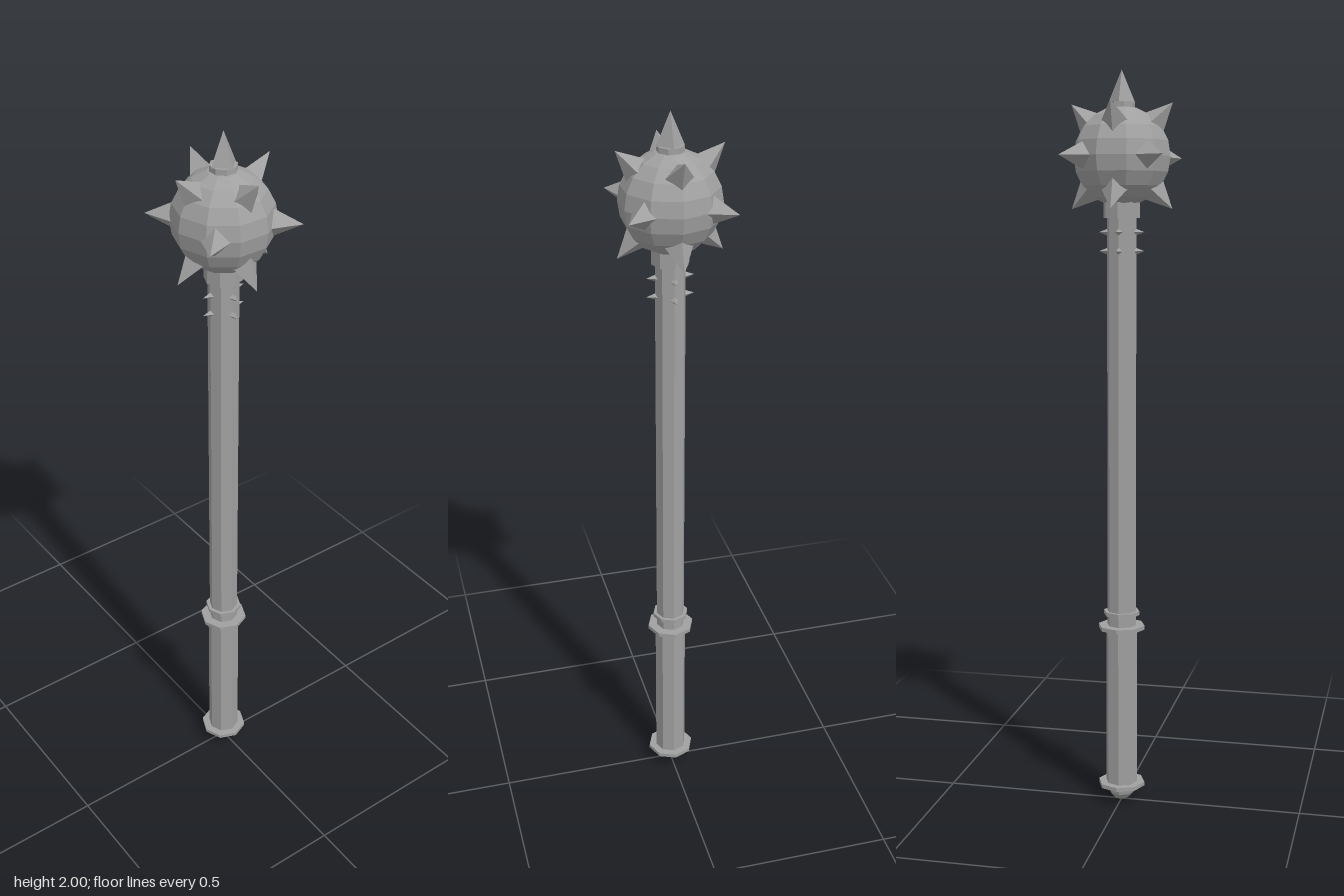
import * as THREE from 'three';

export function createModel() {
  const model = new THREE.Group();
  model.name = 'spikedMace';
  const steel = new THREE.MeshStandardMaterial({ color: 0xa0a0a0, flatShading: true });
  steel.name = 'steel';
  const UP = new THREE.Vector3(0, 1, 0);
  const SIDES = 8;

  function add(name, geometry, y = 0) {
    const mesh = new THREE.Mesh(geometry, steel);
    mesh.name = name;
    mesh.position.y = y;
    model.add(mesh);
    return mesh;
  }

  // Octagonal bar or disc between two heights
  function bar(name, radius, bottom, top) {
    return add(name, new THREE.CylinderGeometry(radius, radius, top - bottom, SIDES), (bottom + top) / 2);
  }

  // Four-sided spike from an inner to an outer distance along a direction
  function spike(name, centreY, dir, inner, outer, radius) {
    const geometry = new THREE.ConeGeometry(radius, outer - inner, 4);
    geometry.translate(0, (inner + outer) / 2, 0);
    // Tilt about x, then turn about y, so two base corners stay level
    geometry.rotateX(Math.acos(dir.dot(UP)));
    geometry.rotateY(Math.atan2(dir.x, dir.z));
    add(name, geometry, centreY);
  }

  // Rounded pommel
  const pommel = new THREE.SphereGeometry(0.04, SIDES, 3, 0, Math.PI * 2, Math.PI / 2, Math.PI / 2);
  add('pommel', pommel, 0.045).scale.y = 1.125;

  // Handle and its guards
  bar('pommelGuard', 0.065, 0.043, 0.054);
  bar('grip', 0.044, 0.05, 0.5);
  bar('gripGuard', 0.065, 0.495, 0.506);
  bar('gripRing', 0.05, 0.535, 0.546);
  bar('shaft', 0.04, 0.5, 1.64);
  bar('headCollar', 0.05, 1.617, 1.675);

  // Two rows of small studs below the head
  for (const y of [1.53, 1.58]) {
    for (let i = 0; i < 4; i++) {
      const a = i * Math.PI / 2;
      spike('stud', y, new THREE.Vector3(Math.sin(a), 0, Math.cos(a)), 0.034, 0.062, 0.011);
    }
  }

  // Faceted ball head
  const headY = 1.777;
  const ball = new THREE.SphereGeometry(0.131, 10, 10);
  ball.rotateY(Math.PI / 10);
  add('ballHead', ball, headY);

  // Twelve spikes: upper, middle and lower rings
  for (const level of [1, 0, -1]) {
    for (let i = 0; i < 4; i++) {
      const a = i * Math.PI / 2 + (level === 0 ? Math.PI / 4 : 0);
      const flat = level === 0 ? 1 : Math.SQRT1_2;
      const dir = new THREE.Vector3(Math.sin(a) * flat, level * Math.SQRT1_2, Math.cos(a) * flat);
      spike('headSpike', headY, dir, 0.118, 0.193, 0.037);
    }
  }

  // Crowning spike on its collar
  bar('crownCollar', 0.035, 1.89, 1.917).rotation.y = Math.PI / 8;
  spike('crownSpike', headY, UP, 0.138, 0.223, 0.036);

  return model;
}
